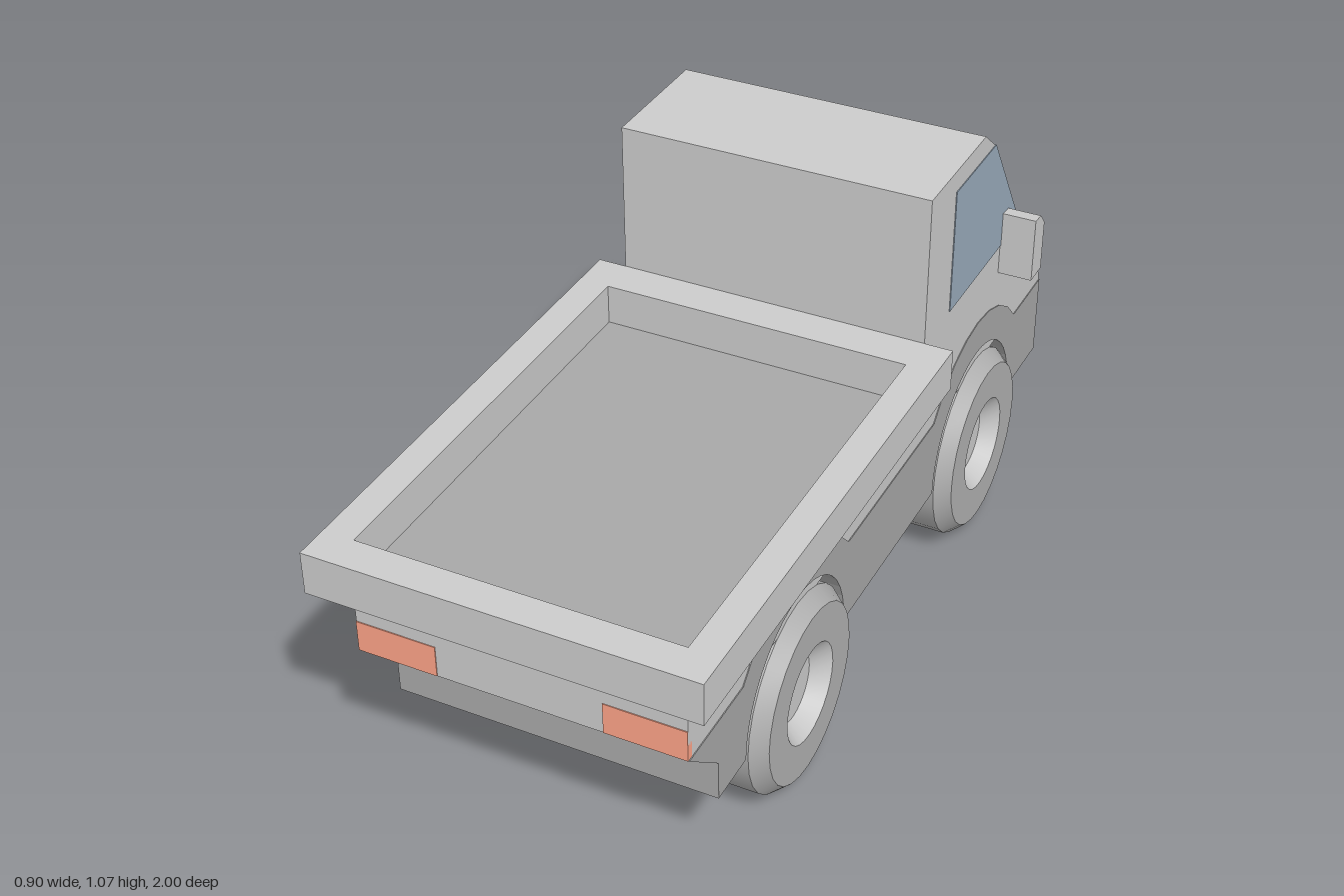
import * as THREE from 'three';
import { toCreasedNormals } from 'three/addons/utils/BufferGeometryUtils.js';

const paint = (color) => new THREE.MeshStandardMaterial({ color });
const HALF = 0.37;            // half width of the body
const AXLES = [0.44, -0.56];  // rear and front wheel positions along z

export function createModel() {
  const model = new THREE.Group();
  const grey = paint(0xcccccc);
  const darkGrey = paint(0xa8a8a8);
  const tyreGrey = paint(0xb0b0b0);
  const glass = paint(0x9aacbc);
  const headlight = paint(0xe6ead0);
  const tailLight = paint(0xfea488);

  const add = (name, geometry, material) => {
    const mesh = new THREE.Mesh(geometry, material);
    mesh.name = name;
    model.add(mesh);
    return mesh;
  };

  // Side profile of [z, y] points, extruded across the body from x0 to x1
  const slab = (name, points, x0, x1, material) => {
    const shape = new THREE.Shape(points.map(([z, y]) => new THREE.Vector2(z, y)));
    const geometry = new THREE.ExtrudeGeometry(shape, { depth: x1 - x0, bevelEnabled: false });
    geometry.rotateY(-Math.PI / 2).translate(x1, 0, 0);
    return add(name, geometry, material);
  };

  // Arc of [z, y] points over an axle, between two angles
  const arc = (z, y, r, from, to, steps) =>
    Array.from({ length: steps + 1 }, (_, i) => {
      const a = from + ((to - from) * i) / steps;
      return [z + r * Math.cos(a), y + r * Math.sin(a)];
    });

  // Upper body with the cab
  slab('upperBody', [
    [0.935, 0.445], [0.935, 0.616], [-0.215, 0.616], [-0.215, 1.073], [-0.53, 1.073],
    [-0.595, 1.02], [-0.8, 0.715], [-0.93, 0.62], [-0.965, 0.555], [-1, 0.445],
  ], -HALF, HALF, grey);

  // Lower body between the wheels
  slab('chassis', [
    [0.81, 0.24], [0.81, 0.335], [0.935, 0.445], [-1, 0.445], [-1, 0.24],
  ], -0.245, 0.245, darkGrey);

  // Lower side panels with raised arches and wheel openings
  const lift = Math.asin(0.205 / 0.33);
  const skirt = [
    [0.81, 0.24], [0.81, 0.335], [0.935, 0.445],
    ...AXLES.flatMap((z) => arc(z, 0.24, 0.33, lift, Math.PI - lift, 8)),
    [-1, 0.445], [-1, 0.24],
    ...[...AXLES].reverse().flatMap((z) => arc(z, 0.24, 0.245, Math.PI, 0, 20)),
  ];
  slab('leftSkirt', skirt, 0.245, HALF + 0.002, darkGrey);
  slab('rightSkirt', skirt, -HALF - 0.002, -0.245, darkGrey);

  // Windscreen and side windows as one piece, just proud of the cab
  slab('windows', [
    [-0.36, 0.715], [-0.36, 1.02], [-0.598, 1.02], [-0.803, 0.715],
  ], -HALF - 0.002, HALF + 0.002, glass);

  // Cargo bed rim
  const rim = new THREE.Shape([
    [-0.437, -1], [0.437, -1], [0.437, 0.215], [-0.437, 0.215],
  ].map(([x, y]) => new THREE.Vector2(x, y)));
  rim.holes.push(new THREE.Path([
    [-0.365, -0.92], [-0.365, 0.12], [0.365, 0.12], [0.365, -0.92],
  ].map(([x, y]) => new THREE.Vector2(x, y))));
  const rimGeometry = new THREE.ExtrudeGeometry(rim, { depth: 0.1, bevelEnabled: false });
  add('bedRim', rimGeometry.rotateX(-Math.PI / 2).translate(0, 0.615, 0), grey);

  // Cargo bed floor
  add('bedFloor', new THREE.BoxGeometry(0.73, 0.01, 1.04), darkGrey).position.set(0, 0.614, 0.4);

  // Wheel profile as [radius, distance from the centre line]
  const lathe = (points) => toCreasedNormals(
    new THREE.LatheGeometry(points.map(([r, x]) => new THREE.Vector2(r, x)), 28), 0.5,
  ).rotateZ(-Math.PI / 2);
  const tyre = lathe([[0, 0.243], [0.232, 0.243], [0.232, 0.37], [0.203, 0.404], [0.115, 0.404]]);
  const hub = lathe([[0.115, 0.404], [0.08, 0.365], [0, 0.365]]);

  for (const side of [1, -1]) {
    const word = side > 0 ? 'left' : 'right';
    const span = (a, b) => (side > 0 ? [a, b] : [-b, -a]);

    // Wheels
    AXLES.forEach((z, i) => {
      const wheel = new THREE.Group();
      wheel.name = `${word}${i ? 'Front' : 'Rear'}Wheel`;
      const tyreMesh = new THREE.Mesh(tyre, tyreGrey);
      tyreMesh.name = 'tyre';
      const hubMesh = new THREE.Mesh(hub, grey);
      hubMesh.name = 'hub';
      wheel.add(tyreMesh, hubMesh);
      wheel.position.set(0, 0.234, z);
      wheel.rotation.y = side > 0 ? 0 : Math.PI;
      model.add(wheel);
    });

    // Side mirror
    slab(`${word}Mirror`, [
      [-0.68, 0.64], [-0.68, 0.8], [-0.715, 0.797], [-0.745, 0.765], [-0.745, 0.64],
    ], ...span(0.365, 0.452), grey);

    // Headlight and tail light
    slab(`${word}Headlight`, [
      [-0.932, 0.621], [-0.967, 0.556], [-0.95, 0.55], [-0.92, 0.615],
    ], ...span(0.21, HALF), headlight);
    slab(`${word}TailLight`, [
      [0.92, 0.446], [0.92, 0.52], [0.937, 0.52], [0.937, 0.446],
    ], ...span(0.187, HALF), tailLight);
  }

  return model;
}
